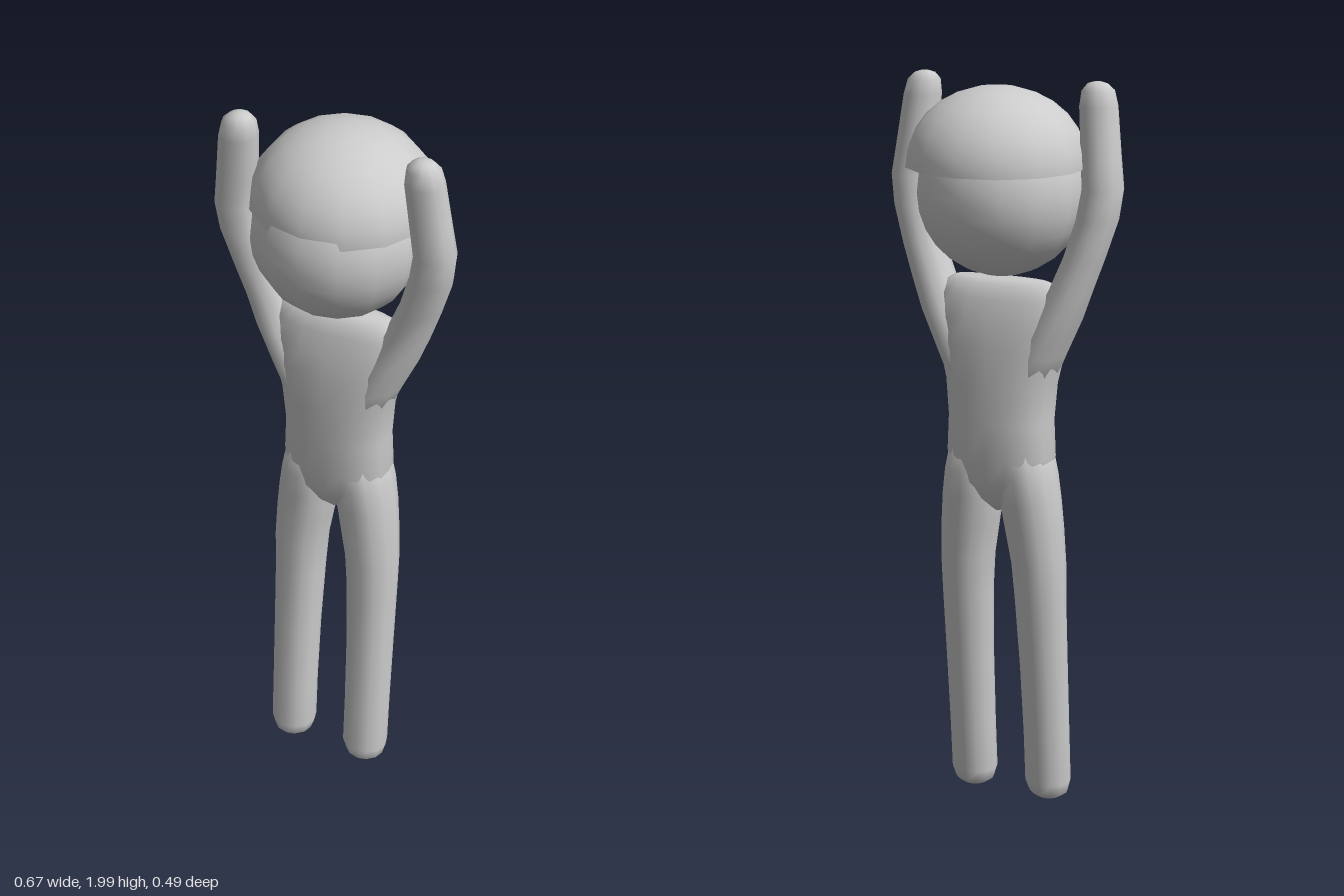
import * as THREE from 'three';

// Smooth closed tube through horizontal oval rings [x, y, z, halfWidth, halfDepth], listed bottom to top.
// A power below 1 makes the ovals squarer.
function loft(rings, sides, power = 1) {
  const pos = [], index = [];
  const bend = v => Math.sign(v) * Math.abs(v) ** power;
  for (const [x, y, z, rx, rz] of rings) {
    for (let i = 0; i < sides; i++) {
      const a = (i / sides) * Math.PI * 2;
      pos.push(x + rx * bend(Math.cos(a)), y, z + rz * bend(Math.sin(a)));
    }
  }
  for (let k = 0; k < rings.length - 1; k++) {
    for (let i = 0; i < sides; i++) {
      const p = k * sides + i, q = k * sides + (i + 1) % sides;
      index.push(p, p + sides, q, q, p + sides, q + sides);
    }
  }
  // End caps
  const last = rings.length - 1, b = pos.length / 3;
  pos.push(...rings[0].slice(0, 3), ...rings[last].slice(0, 3));
  for (let i = 0; i < sides; i++) {
    const j = (i + 1) % sides;
    index.push(b, i, j, b + 1, last * sides + j, last * sides + i);
  }
  const g = new THREE.BufferGeometry();
  g.setAttribute('position', new THREE.Float32BufferAttribute(pos, 3));
  g.setIndex(index);
  g.computeVertexNormals();
  return g;
}

// Mirror the limb rings to the other side
const side = (rings, s) => rings.map(([x, ...rest]) => [x * s, ...rest]);

export function createModel() {
  const model = new THREE.Group();
  const grey = new THREE.MeshStandardMaterial({ color: 0xcccccc });
  grey.name = 'light grey';
  const add = (name, geometry) => {
    const mesh = new THREE.Mesh(geometry, grey);
    mesh.name = name;
    model.add(mesh);
    return mesh;
  };

  // Torso from crotch to flat shoulders
  add('torso', loft([
    [0, 0.845, 0.02, 0.012, 0.03],
    [0, 0.88, 0.02, 0.06, 0.065],
    [0, 0.93, 0.02, 0.13, 0.088],
    [0, 1.0, 0.018, 0.15, 0.1],
    [0, 1.1, 0.018, 0.145, 0.101],
    [0, 1.2, 0.02, 0.154, 0.1],
    [0, 1.3, 0.02, 0.18, 0.095],
    [0, 1.37, 0.02, 0.195, 0.083],
    [0, 1.43, 0.02, 0.19, 0.068],
    [0, 1.465, 0.022, 0.165, 0.05],
    [0, 1.477, 0.022, 0.13, 0.028],
  ], 20, 0.85));

  const leg = [
    [0.115, 0.008, 0.085, 0.035, 0.035],
    [0.115, 0.022, 0.083, 0.054, 0.05],
    [0.114, 0.055, 0.08, 0.064, 0.06],
    [0.114, 0.2, 0.069, 0.064, 0.061],
    [0.113, 0.4, 0.052, 0.066, 0.064],
    [0.11, 0.6, 0.035, 0.07, 0.07],
    [0.107, 0.7, 0.03, 0.074, 0.075],
    [0.096, 0.8, 0.025, 0.08, 0.08],
    [0.086, 0.88, 0.021, 0.083, 0.085],
    [0.08, 0.95, 0.019, 0.078, 0.091],
    [0.068, 1.05, 0.018, 0.068, 0.085],
  ];
  const arm = [
    [0.08, 1.2, 0.02, 0.068, 0.078],
    [0.114, 1.28, 0.02, 0.068, 0.082],
    [0.165, 1.38, 0.02, 0.064, 0.073],
    [0.2, 1.46, 0.021, 0.06, 0.06],
    [0.235, 1.55, 0.028, 0.057, 0.057],
    [0.266, 1.65, 0.038, 0.058, 0.055],
    [0.278, 1.73, 0.044, 0.056, 0.055],
    [0.269, 1.81, 0.051, 0.054, 0.053],
    [0.255, 1.94, 0.063, 0.051, 0.051],
    [0.252, 1.978, 0.065, 0.044, 0.043],
    [0.25, 1.995, 0.065, 0.028, 0.027],
    [0.25, 2.0, 0.065, 0.012, 0.012],
  ];
  for (const [label, s] of [['left', 1], ['right', -1]]) {
    add(label + 'Leg', loft(side(leg, s), 12));
    add(label + 'Arm', loft(side(arm, s), 10));
  }

  // Round head
  const head = add('head', new THREE.SphereGeometry(0.225, 14, 14));
  head.rotation.y = Math.PI / 2;
  head.position.set(0, 1.71, 0.02);

  // Half-dome cap, overhanging the back of the head
  const dome = new THREE.SphereGeometry(1, 14, 7, 0, Math.PI * 2, 0, Math.PI / 2);
  dome.rotateY(Math.PI / 2).scale(0.241, 0.205, 0.238);
  const cap = add('hairCap', dome);
  cap.position.set(0, 1.78, -0.01);

  // Flat underside of the cap
  const under = new THREE.CircleGeometry(1, 14, Math.PI / 2);
  under.rotateX(Math.PI / 2).scale(0.241, 1, 0.238);
  add('capUnderside', under).position.copy(cap.position);

  return model;
}
